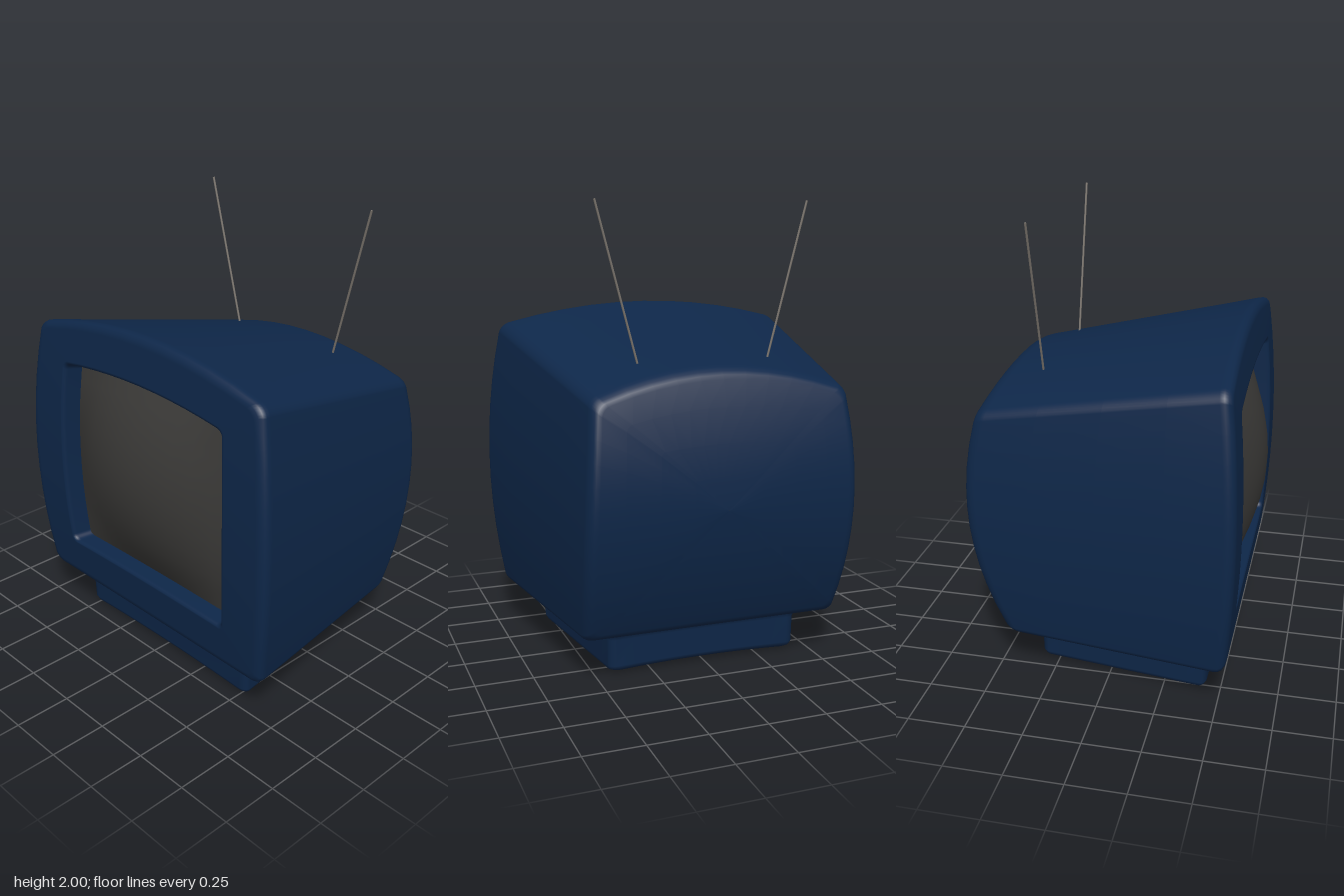
import * as THREE from 'three';

const blue = new THREE.MeshStandardMaterial({ color: 0x0e2749 });
blue.name = 'navy plastic';
const grey = new THREE.MeshStandardMaterial({ color: 0x3a3937 });
grey.name = 'dark glass';
const metal = new THREE.MeshStandardMaterial({ color: 0x77716a });
metal.name = 'antenna metal';

// Rounded unit square, counter-clockwise, with subdivided straight sides
function roundedSquare(r, arcSteps = 6, sideSteps = 10) {
  const pts = [];
  for (let q = 0; q < 4; q++) {
    const turn = q * Math.PI / 2, c = Math.cos(turn), s = Math.sin(turn);
    const add = (u, v) => pts.push([u * c - v * s, u * s + v * c]);
    for (let i = 1; i < sideSteps; i++) add(1, (1 - r) * (2 * i / sideSteps - 1));
    for (let i = 0; i <= arcSteps; i++) {
      const a = i / arcSteps * Math.PI / 2;
      add(1 - r + r * Math.cos(a), 1 - r + r * Math.sin(a));
    }
  }
  return pts;
}

// Skin a list of closed rings (each an array of Vector3)
function loft(rings) {
  const n = rings[0].length, pos = [], index = [];
  rings.forEach(ring => ring.forEach(p => pos.push(p.x, p.y, p.z)));
  for (let k = 0; k < rings.length - 1; k++) {
    for (let j = 0; j < n; j++) {
      const a = k * n + j, b = k * n + (j + 1) % n;
      index.push(a, a + n, b, b, a + n, b + n);
    }
  }
  const g = new THREE.BufferGeometry();
  g.setAttribute('position', new THREE.Float32BufferAttribute(pos, 3));
  g.setIndex(index);
  g.computeVertexNormals();
  return g;
}

// Point of the cabinet: u across (z), v up, s from front (0) to back (1), d offset in x
function cabinetPoint(u, v, s, d) {
  let x = 0, y = 0.85;
  for (let i = 0; i < 6; i++) {
    const front = -0.57 + 0.1 * (y - 0.8) ** 2;
    const back = 0.605 - 0.38 * (y - 0.85) ** 2;
    x = front + (back - front) * s + d;
    const top = 1.435 - 0.215 * x - 0.1 * u * u;
    y = 0.195 + (top - 0.195) * (v + 1) / 2;
  }
  const z = u * (0.683 - 0.148 * x) * (1 - 0.075 * v * v);
  return new THREE.Vector3(x, y, z);
}

function makeCabinet() {
  const outline = roundedSquare(0.06);
  // scale, depth fraction, x offset: recess, bezel, rim, sides, back
  const steps = [
    [0.675, 0, 0.11], [0.678, 0, 0.02], [0.68, 0, 0.008], [0.69, 0, 0], [0.7, 0, 0],
    [0.93, 0, 0], [0.96, 0, 0.003], [0.985, 0, 0.014], [0.997, 0, 0.03], [1, 0, 0.05],
    [1, 0.25, 0], [1, 0.5, 0], [1, 0.75, 0],
    [1, 1, -0.05], [0.995, 1, -0.03], [0.98, 1, -0.012], [0.96, 1, -0.003], [0.93, 1, 0],
    [0.75, 1, 0], [0.5, 1, 0], [0.25, 1, 0], [0.001, 1, 0],
  ];
  return loft(steps.map(([k, s, d]) => outline.map(([u, v]) => cabinetPoint(u * k, v * k, s, d))));
}

function makeBase() {
  const outline = roundedSquare(0.08);
  // height, outward offset: underside, wall, flare under the cabinet
  const steps = [
    [0, -0.33], [0, -0.04], [0.002, -0.025], [0.012, -0.008], [0.03, 0],
    [0.15, 0.003], [0.175, 0.012], [0.19, 0.028], [0.2, 0.05], [0.22, 0.05],
  ];
  return loft(steps.map(([y, o]) => outline.map(([u, v]) => {
    const x = -0.053 - v * (0.385 + o);
    const z = u * (0.478 - 0.135 * x + o);
    return new THREE.Vector3(x, y + 0.013 * (1 - u * u) * (1 - y / 0.22), z);
  })));
}

// Bulging picture tube set inside the bezel
function makeScreen() {
  const g = new THREE.PlaneGeometry(2, 2, 10, 10);
  const p = g.attributes.position;
  for (let i = 0; i < p.count; i++) {
    const u = p.getX(i), v = p.getY(i);
    const bulge = 0.13 * (1 - u * u) * (1 - v * v);
    const q = cabinetPoint(u * 0.68, v * 0.68, 0, 0.09 - bulge);
    p.setXYZ(i, q.x, q.y, q.z);
  }
  g.computeVertexNormals();
  return g;
}

function rod(from, to, radius) {
  const dir = to.clone().sub(from);
  const mesh = new THREE.Mesh(new THREE.CylinderGeometry(radius, radius, dir.length(), 8), metal);
  mesh.position.copy(from).addScaledVector(dir, 0.5);
  mesh.quaternion.setFromUnitVectors(new THREE.Vector3(0, 1, 0), dir.normalize());
  return mesh;
}

export function createModel() {
  const model = new THREE.Group();
  model.name = 'television';
  const add = (name, geometry, material) => {
    const mesh = new THREE.Mesh(geometry, material);
    mesh.name = name;
    model.add(mesh);
  };
  add('cabinet', makeCabinet(), blue);
  add('base', makeBase(), blue);
  add('screen', makeScreen(), grey);

  // Pair of splayed antennae
  for (const side of [1, -1]) {
    const shift = 0.008;
    const antenna = rod(
      new THREE.Vector3(0.33, 1.32, side * 0.29 + shift),
      new THREE.Vector3(0.33, 2.0, side * 0.47 + shift), 0.005);
    antenna.name = side > 0 ? 'antennaFront' : 'antennaBack';
    model.add(antenna);
  }
  return model;
}
